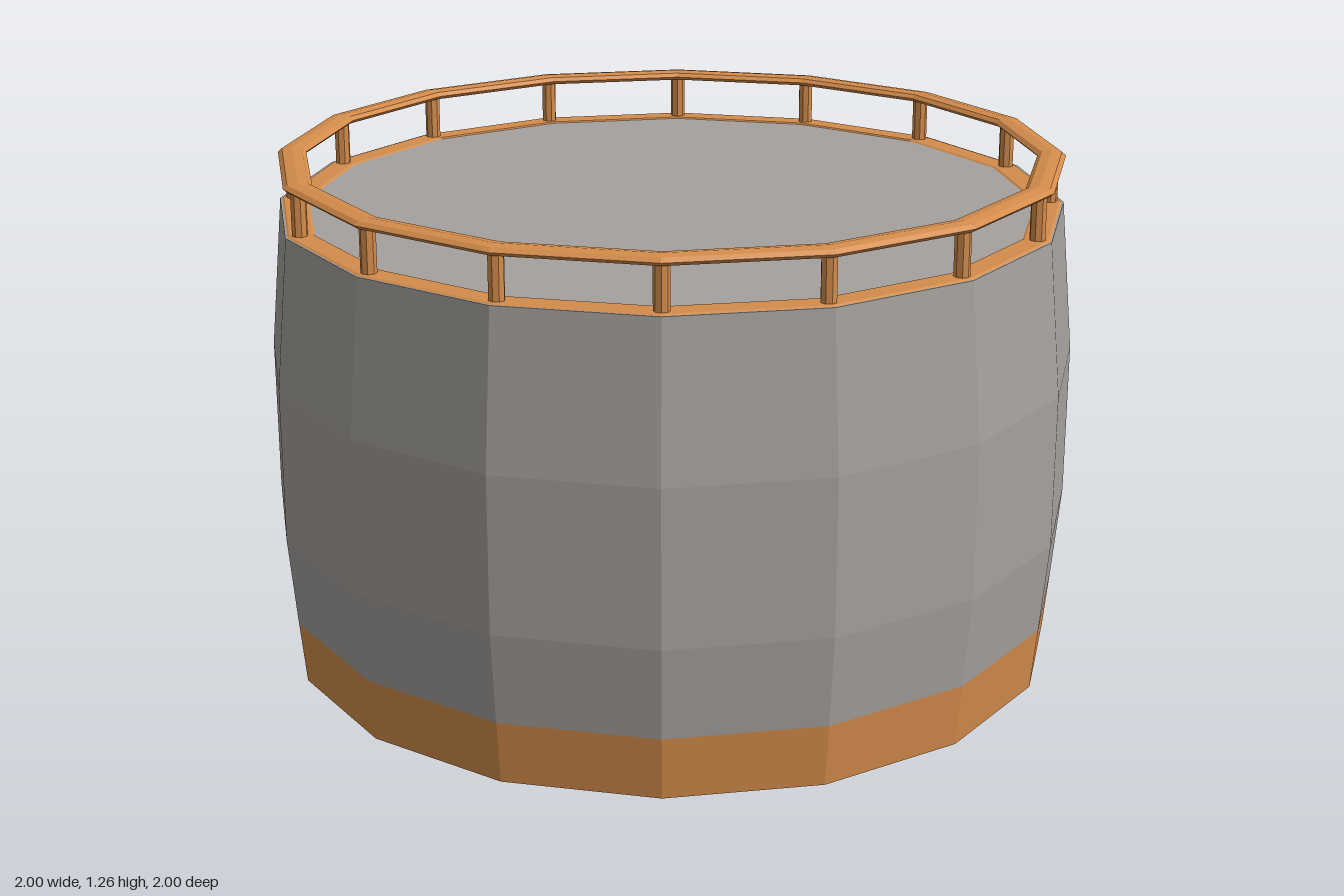
import * as THREE from 'three';

const SIDES = 16;
const stone = new THREE.MeshStandardMaterial({ color: 0xa5a19d, flatShading: true });
stone.name = 'warm grey';
const copper = new THREE.MeshStandardMaterial({ color: 0xd48c4b, flatShading: true });
copper.name = 'copper';

export function createModel() {
  const group = new THREE.Group();
  group.name = 'barrelTower';

  const add = (name, geometry, material, y = 0) => {
    const mesh = new THREE.Mesh(geometry, material);
    mesh.name = name;
    mesh.position.y = y;
    group.add(mesh);
    return mesh;
  };
  const lathe = (points) =>
    new THREE.LatheGeometry(points.map(([r, y]) => new THREE.Vector2(r, y)), SIDES);

  // Bulging wall, closed by the deck on top
  add('wallAndDeck', lathe([[0.98, 0.155], [1, 0.38], [1, 0.76], [0.965, 1.135], [0, 1.135]]), stone);

  // Painted base band and the grey underside
  add('baseBand', lathe([[0.965, 0], [0.98, 0.155]]), copper);
  add('underside', lathe([[0, 0], [0.965, 0]]), stone);

  // Flat trim ring around the edge of the deck
  add('deckTrim', lathe([[0.96, 1.135], [0.955, 1.138], [0.9, 1.138], [0.895, 1.135]]), copper);

  // Flattened handrail with corners above the wall corners
  const rail = new THREE.TorusGeometry(0.93, 0.035, 8, SIDES);
  rail.rotateX(Math.PI / 2);
  rail.scale(1, 0.37, 1);
  add('handrail', rail, copper, 1.252);

  // One post under each corner of the handrail
  const postGeometry = new THREE.CylinderGeometry(0.019, 0.019, 0.115, 8);
  for (let i = 0; i < SIDES; i++) {
    const a = (i / SIDES) * Math.PI * 2;
    const post = add('railPost', postGeometry, copper, 1.1925);
    post.position.x = 0.93 * Math.sin(a);
    post.position.z = 0.93 * Math.cos(a);
    post.rotation.y = a;
  }
  return group;
}
